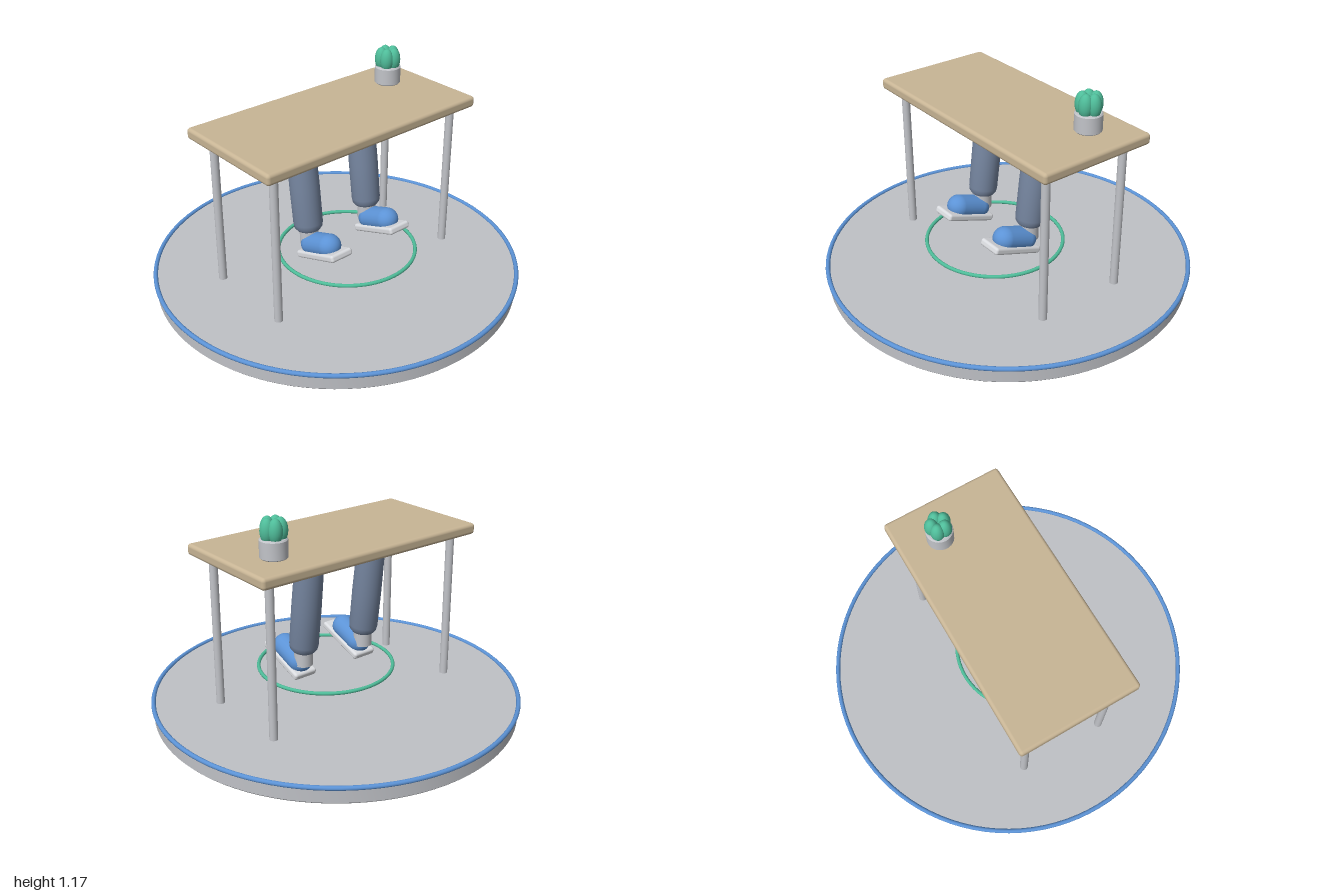
import * as THREE from 'three';
import { toCreasedNormals } from 'three/addons/utils/BufferGeometryUtils.js';
import { RoundedBoxGeometry } from 'three/addons/geometries/RoundedBoxGeometry.js';

const material = (name, color) => {
  const m = new THREE.MeshStandardMaterial({ color });
  m.name = name;
  return m;
};

function part(parent, name, geometry, mat, x = 0, y = 0, z = 0) {
  const mesh = new THREE.Mesh(geometry, mat);
  mesh.name = name;
  mesh.position.set(x, y, z);
  parent.add(mesh);
  return mesh;
}

// Turned solid from [radius, height] pairs, bottom to top
function turned(profile, segments) {
  const points = profile.map(([r, y]) => new THREE.Vector2(r, y));
  return toCreasedNormals(new THREE.LatheGeometry(points, segments), 0.55);
}

export function createModel() {
  const model = new THREE.Group();
  model.name = 'deskScene';

  const grey = material('platform grey', 0xbfc1c6);
  const metal = material('metal grey', 0xc2c4c9);
  const white = material('sole white', 0xdadce0);
  const wood = material('wood', 0xc8b595);
  const blue = material('blue', 0x5c93d6);
  const denim = material('trouser blue', 0x75859f);
  const green = material('green', 0x4fbd9a);

  // Round platform with a coloured rim
  part(model, 'platform', turned([
    [0, 0], [0.98, 0], [0.987, 0.008], [0.987, 0.086], [0, 0.086],
  ], 96), grey);
  part(model, 'platformRim', new THREE.TorusGeometry(0.988, 0.012, 10, 96), blue, 0, 0.087, 0)
    .rotation.x = Math.PI / 2;

  // Floating ring under the feet
  part(model, 'footRing', new THREE.TorusGeometry(0.37, 0.01, 10, 80), green, 0, 0.2, 0.09)
    .rotation.x = Math.PI / 2;

  // Table
  const table = new THREE.Group();
  table.name = 'table';
  model.add(table);
  part(table, 'tableTop', new RoundedBoxGeometry(1.37, 0.06, 0.666, 4, 0.018), wood, 0, 0.941, 0);
  const legGeometry = new THREE.CylinderGeometry(0.022, 0.022, 0.84, 24);
  for (const x of [-0.59, 0.59]) {
    for (const z of [-0.243, 0.245]) part(table, 'tableLeg', legGeometry, metal, x, 0.5, z);
  }

  // Potted cactus with five lobes
  const plant = new THREE.Group();
  plant.name = 'pottedCactus';
  plant.position.set(0.472, 0.97, -0.117);
  model.add(plant);
  part(plant, 'pot', turned([
    [0, 0], [0.064, 0], [0.07, 0.006], [0.07, 0.092], [0.064, 0.099], [0, 0.099],
  ], 32), metal);
  const lobeGeometry = new THREE.SphereGeometry(0.036, 20, 14);
  lobeGeometry.scale(1, 1.75, 1);
  for (let i = 0; i < 5; i++) {
    const a = (i / 5) * Math.PI * 2;
    part(plant, 'cactusLobe', lobeGeometry, green, Math.cos(a) * 0.035, 0.138, Math.sin(a) * 0.035);
  }

  // Trouser leg: cuffed bottom, domed top
  const trouserProfile = [[0, 0], [0.062, 0], [0.074, 0.016], [0.078, 0.04], [0.079, 0.25], [0.076, 0.455]];
  for (let i = 1; i <= 8; i++) {
    const a = (i / 8) * Math.PI / 2;
    trouserProfile.push([0.076 * Math.cos(a), 0.455 + 0.076 * Math.sin(a)]);
  }
  const trouserGeometry = turned(trouserProfile, 32);
  const ankleGeometry = new THREE.CylinderGeometry(0.05, 0.05, 0.13, 24);
  const soleGeometry = new RoundedBoxGeometry(0.14, 0.04, 0.31, 3, 0.014);
  const upperGeometry = new THREE.CapsuleGeometry(0.066, 0.134, 8, 20);
  upperGeometry.rotateX(Math.PI / 2).scale(1, 0.95, 1);

  // Pair of legs with toes lifted
  for (const [side, x] of [['right', -0.205], ['left', 0.205]]) {
    const leg = new THREE.Group();
    leg.name = side + 'Leg';
    leg.position.x = x;
    model.add(leg);
    part(leg, 'trouser', trouserGeometry, denim, 0, 0.365, 0.018).rotation.x = -0.12;
    part(leg, 'ankle', ankleGeometry, metal, 0, 0.345, 0.02);

    const shoe = new THREE.Group();
    shoe.name = 'shoe';
    shoe.position.set(0, 0.274, 0.143);
    shoe.rotation.x = -0.35;
    leg.add(shoe);
    part(shoe, 'sole', soleGeometry, white);
    part(shoe, 'shoeUpper', upperGeometry, blue, 0, 0.044, -0.012);
  }

  return model;
}
